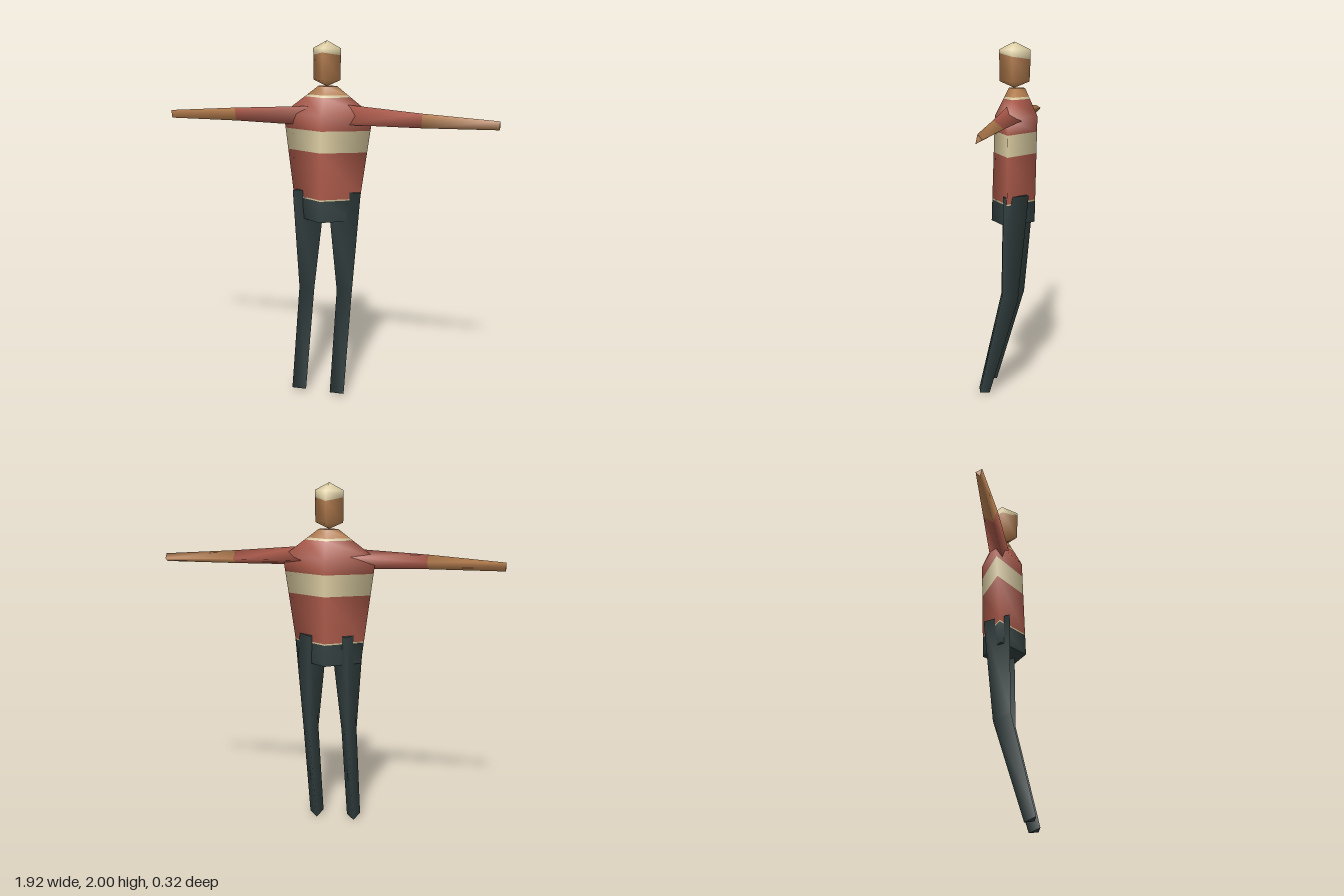
import * as THREE from 'three';

const mat = (name, color) => {
  const m = new THREE.MeshStandardMaterial({ color });
  m.name = name;
  return m;
};

// Skin a stack of equal-sized rings of [x, y, z] corners, one material per band,
// smooth along the sides and with flat caps at both ends.
function loft(name, rings, mats) {
  const n = rings[0].length, last = rings.length - 1;
  const pos = rings.flat(2), index = [];
  const used = [...new Set(mats)];
  const geo = new THREE.BufferGeometry();
  const group = (start, m) => geo.addGroup(start, index.length - start, used.indexOf(m));
  for (let i = 0; i < last; i++) {
    const start = index.length;
    for (let j = 0; j < n; j++) {
      const k = (j + 1) % n;
      const a = i * n + j, b = i * n + k, c = b + n, d = a + n;
      index.push(a, b, d, b, c, d);
    }
    group(start, mats[i]);
  }
  for (const [ring, m, flip] of [[rings[0], mats[0], true], [rings[last], mats[last - 1], false]]) {
    const start = index.length, base = pos.length / 3;
    pos.push(...ring.flat());
    for (let j = 1; j < n - 1; j++) {
      index.push(base, base + (flip ? j + 1 : j), base + (flip ? j : j + 1));
    }
    group(start, m);
  }
  geo.setAttribute('position', new THREE.Float32BufferAttribute(pos, 3));
  geo.setIndex(index);
  geo.computeVertexNormals();
  const mesh = new THREE.Mesh(geo, used);
  mesh.name = name;
  return mesh;
}

// Diamond ring: front, left, back, right
const diamond = (y, hx, zFront, zSide, zBack) =>
  [[0, y, zFront], [hx, y, zSide], [0, y, zBack], [-hx, y, zSide]];

// Ring part-way between two others
const mix = (r, s, t) => r.map((p, i) => p.map((v, k) => v + (s[i][k] - v) * t));

export function createModel() {
  const red = mat('red knit', 0xac5a4a);
  const cream = mat('cream', 0xdccda2);
  const dark = mat('dark trousers', 0x344141);
  const skin = mat('skin', 0xb47d4e);

  const model = new THREE.Group();
  model.name = 'figure';

  // Torso: hips, hem line, jumper with chest stripe, collar and neck
  const hip = diamond(1.0, 0.18, 0.1, -0.02, -0.147);
  const chest = diamond(1.595, 0.262, 0.08, -0.04, -0.16);
  const neck = diamond(1.75, 0.055, 0.0, -0.045, -0.09);
  const body = (y) => mix(hip, chest, (y - 1.0) / 0.595);
  const shoulder = (y) => mix(chest, neck, (y - 1.595) / 0.155);
  model.add(loft('torso',
    [hip, body(1.12), body(1.128), body(1.39), body(1.51), chest, shoulder(1.69), shoulder(1.702), neck],
    [dark, cream, red, cream, red, red, cream, skin]));

  // Head with a hair cap, hairline lower at the back
  const jaw = diamond(1.785, 0.078, 0.052, -0.03, -0.115);
  const brow = diamond(1.92, 0.08, 0.055, -0.03, -0.12);
  [1.937, 1.92, 1.905, 1.92].forEach((y, i) => { brow[i][1] = y; });
  const crown = diamond(1.958, 0.08, 0.055, -0.03, -0.12);
  model.add(loft('head',
    [diamond(1.75, 0, -0.03, -0.03, -0.03), jaw, brow, crown, diamond(2.0, 0, -0.03, -0.03, -0.03)],
    [skin, skin, cream, cream]));

  // Three-sided arms; the right one is the left one turned over
  const armSections = [ // x, centre y, then [y offset, z] of the corners
    [0.1, 1.593, [0.062, -0.01], [-0.048, 0.013], [-0.013, -0.098]],
    [0.545, 1.58, [0.038, -0.015], [-0.038, 0.008], [-0.006, -0.07]],
    [0.96, 1.567, [0.024, -0.022], [-0.022, -0.012], [-0.003, -0.045]],
  ];
  for (const s of [1, -1]) {
    const rings = armSections.map(([x, y, ...c]) => c.map(([dy, z]) => [s * x, y + s * dy, z]));
    model.add(loft(s > 0 ? 'leftArm' : 'rightArm', rings, [red, skin]));
  }

  // Three-sided legs, bent at the knee, the same shape on both sides
  const legRings = [
    [[-0.148, 0.022, 0.16], [-0.07, 0.016, 0.143], [-0.12, 0, 0.095]],
    [[-0.148, 0.595, 0.03], [-0.063, 0.59, 0.012], [-0.118, 0.56, -0.07]],
    [[-0.185, 1.165, 0.03], [0.0, 1.165, -0.005], [-0.115, 1.165, -0.127]],
  ];
  const shifts = { rightLeg: [0, 0, 0], leftLeg: [0.228, 0.227, 0.207] };
  for (const [name, dx] of Object.entries(shifts)) {
    const rings = legRings.map((r, i) => r.map(([x, y, z]) => [x + dx[i], y, z]));
    model.add(loft(name, rings, [dark, dark]));
  }

  return model;
}
